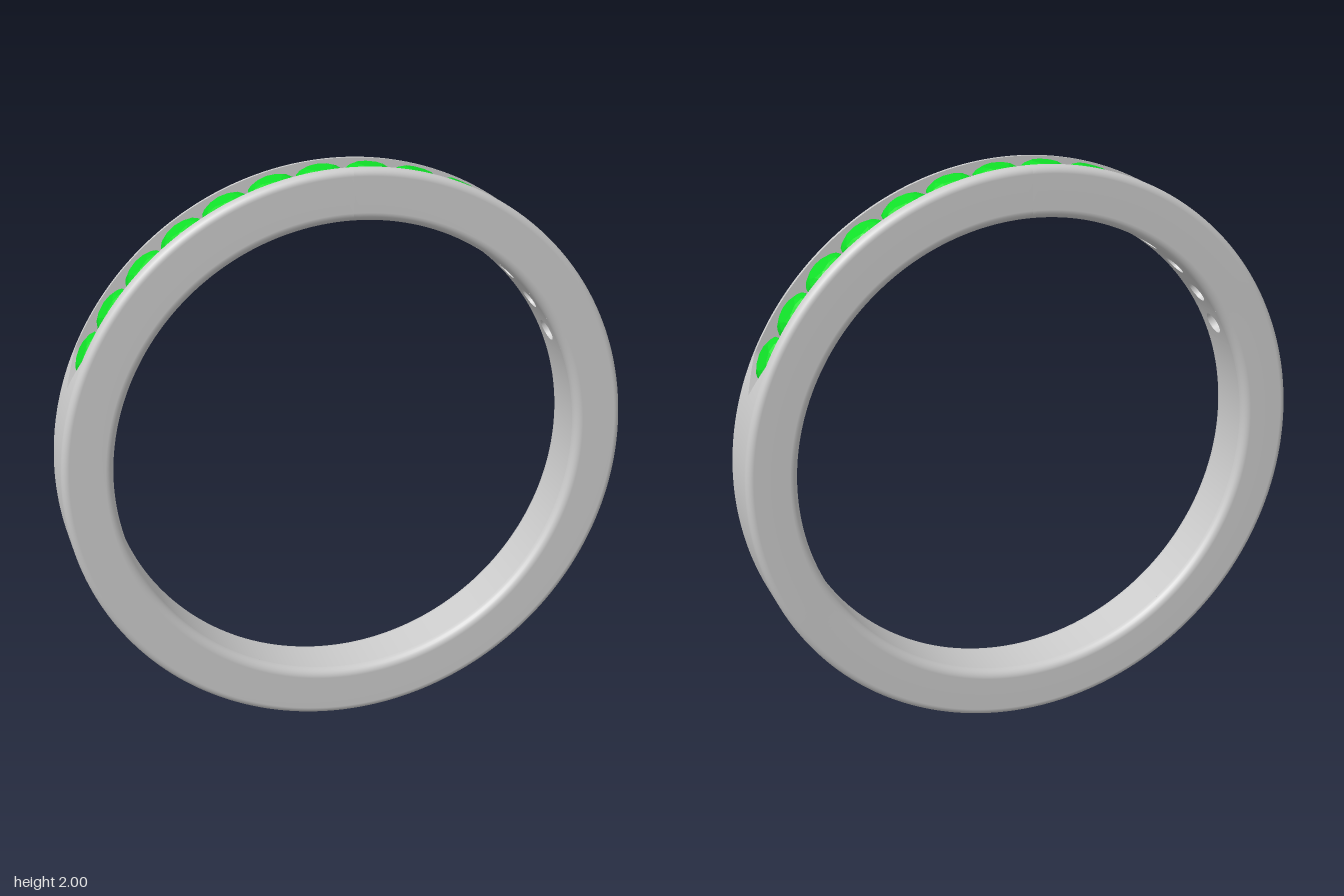
import * as THREE from 'three';
import { mergeGeometries } from 'three/addons/utils/BufferGeometryUtils.js';
import { ConvexGeometry } from 'three/addons/geometries/ConvexGeometry.js';

const RAD = Math.PI / 180;
const OUTER = 1, INNER = 0.825, FLOOR = 0.91, HALF_DEPTH = 0.107;
const CHANNEL = 0.073, TAPER_START = 65, TAPER_END = 72;   // channel half width, end angles
const STONES = 14, PITCH = 9.9, HOLE = 0.04;
const INNER_ROUND = 0.03, OUTER_ROUND = 0.025;
const FLAT = HALF_DEPTH - INNER_ROUND;                     // half width of the inner face

// Point on the ring: angle in degrees from the top, radius, depth
const ringPoint = (deg, r, z) =>
  new THREE.Vector3(r * Math.sin(deg * RAD), 1 + r * Math.cos(deg * RAD), z);

// Smooth surface over a grid; fn(u, v) gives a point for u, v in 0..1
function grid(nu, nv, fn, flip = false) {
  const pos = [], index = [];
  for (let i = 0; i <= nu; i++)
    for (let j = 0; j <= nv; j++) pos.push(...fn(i / nu, j / nv).toArray());
  for (let i = 0; i < nu; i++)
    for (let j = 0; j < nv; j++) {
      const a = i * (nv + 1) + j, b = a + nv + 1;
      if (flip) index.push(a, b + 1, b, a, a + 1, b + 1);
      else index.push(a, b, b + 1, a, b + 1, a + 1);
    }
  const g = new THREE.BufferGeometry();
  g.setAttribute('position', new THREE.Float32BufferAttribute(pos, 3));
  g.setIndex(index);
  g.computeVertexNormals();
  return g;
}

// Channel half width, running to a point at both ends
function channelWidth(deg) {
  const a = Math.abs(deg > 180 ? deg - 360 : deg);
  return CHANNEL * THREE.MathUtils.clamp((TAPER_END - a) / (TAPER_END - TAPER_START), 0, 1);
}

// Half cross-section from the channel rim, round the side, to the inner face: [r, z]
function sideProfile() {
  const pts = [[OUTER, null]], n = 6;
  for (let i = 0; i <= n; i++) {
    const t = (i / n) * Math.PI / 2;
    pts.push([OUTER - OUTER_ROUND * (1 - Math.cos(t)), HALF_DEPTH - OUTER_ROUND * (1 - Math.sin(t))]);
  }
  for (let i = 0; i <= n; i++) {
    const t = (i / n) * Math.PI / 2;
    pts.push([INNER + INNER_ROUND * (1 - Math.sin(t)), FLAT + INNER_ROUND * Math.cos(t)]);
  }
  return pts;
}

// Curved rectangular patch with a round hole
function holedPatch(deg, r, halfZ, flip) {
  const halfArc = PITCH / 2 * RAD * r;
  return grid(32, 3, (u, v) => {
    const c = Math.cos(u * 2 * Math.PI), s = Math.sin(u * 2 * Math.PI);
    const m = Math.max(Math.abs(c), Math.abs(s));
    const a = THREE.MathUtils.lerp(c * HOLE, c / m * halfArc, v);
    const z = THREE.MathUtils.lerp(s * HOLE, s / m * halfZ, v);
    return ringPoint(deg + a / r / RAD, r, z);
  }, flip);
}

// Round brilliant-cut stone with its axis along y and girdle at y = 0
function stoneGeometry() {
  const pts = [new THREE.Vector3(0, -0.065, 0)];
  const ring = (n, r, y, offset) => {
    for (let i = 0; i < n; i++) {
      const t = (i + offset) / n * 2 * Math.PI;
      pts.push(new THREE.Vector3(r * Math.cos(t), y, r * Math.sin(t)));
    }
  };
  ring(8, 0.045, 0.025, 0);
  ring(8, 0.066, 0.016, 0.5);
  ring(16, 0.08, 0.003, 0);
  ring(16, 0.08, -0.003, 0);
  return new ConvexGeometry(pts);
}

export function createModel() {
  const model = new THREE.Group();
  model.name = 'ring';
  const metal = new THREE.MeshStandardMaterial({ color: 0xcccccc, side: THREE.DoubleSide });
  const green = new THREE.MeshStandardMaterial({ color: 0x10e028, flatShading: true });
  const add = (name, parts, parent = model) => {
    const mesh = new THREE.Mesh(mergeGeometries(parts), metal);
    mesh.name = name;
    parent.add(mesh);
  };
  const stoneAngles = Array.from({ length: STONES }, (_, i) => (i - (STONES - 1) / 2) * PITCH);
  const holeEnd = STONES / 2 * PITCH;

  // Band sides with rounded edges, and channel walls, mirrored in z
  const profile = sideProfile(), sides = [], channel = [];
  for (const s of [1, -1]) {
    sides.push(grid(360, profile.length - 1, (u, v) => {
      const [r, z] = profile[Math.round(v * (profile.length - 1))];
      return ringPoint(u * 360, r, s * (z ?? channelWidth(u * 360)));
    }, s > 0));
    channel.push(grid(2 * TAPER_END, 1, (u, v) => {
      const deg = (2 * u - 1) * TAPER_END;
      return ringPoint(deg, THREE.MathUtils.lerp(OUTER, FLOOR, v), s * channelWidth(deg));
    }, s < 0));
    // Floor under the pointed channel end
    channel.push(grid(3, 1, (u, v) => ringPoint(
      s > 0 ? holeEnd + u * (TAPER_END - holeEnd) : -TAPER_END + u * (TAPER_END - holeEnd),
      FLOOR, (2 * v - 1) * CHANNEL), true));
  }

  // Inner face: plain below, pierced under the stones
  const inner = [grid(222, 1, (u, v) =>
    ringPoint(holeEnd + u * (360 - 2 * holeEnd), INNER, (2 * v - 1) * FLAT))];
  const holes = [];
  for (const deg of stoneAngles) {
    inner.push(holedPatch(deg, INNER, FLAT, true));
    channel.push(holedPatch(deg, FLOOR, CHANNEL, false));
    holes.push(grid(32, 1, (u, v) => {
      const t = u * 2 * Math.PI, r = THREE.MathUtils.lerp(INNER, FLOOR, v);
      return ringPoint(deg + HOLE * Math.cos(t) / r / RAD, r, HOLE * Math.sin(t));
    }));
  }
  add('bandSides', sides);
  add('bandInnerFace', inner);
  add('stoneChannel', channel);
  add('stoneHoles', holes);

  // Stones set along the channel
  const stones = new THREE.Group();
  stones.name = 'stones';
  const gem = stoneGeometry();
  for (const deg of stoneAngles) {
    const stone = new THREE.Mesh(gem, green);
    stone.name = 'stone';
    stone.position.copy(ringPoint(deg, 0.97, 0));
    stone.rotation.z = -deg * RAD;
    stones.add(stone);
  }
  model.add(stones);
  return model;
}
